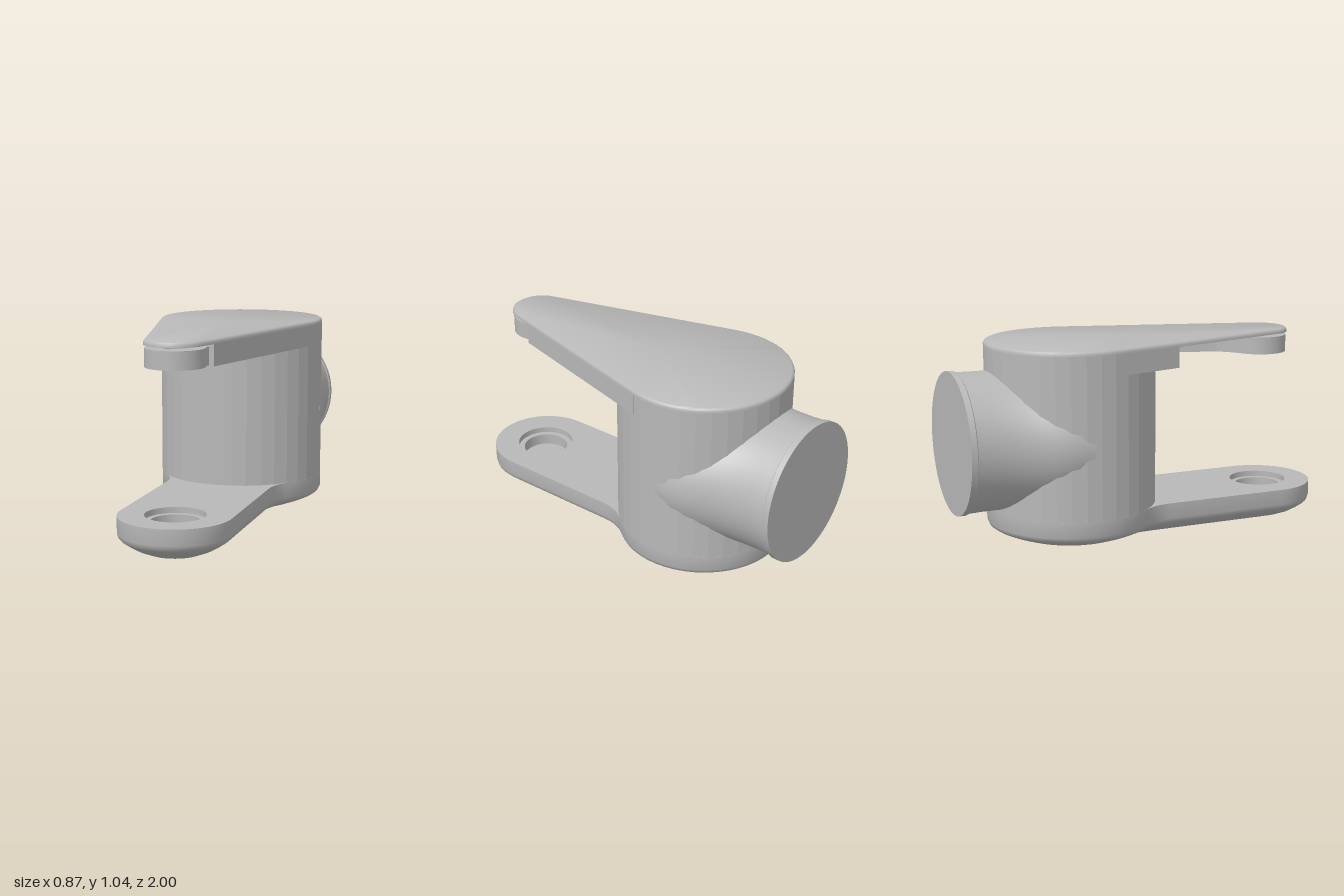
import * as THREE from 'three';
import { toCreasedNormals } from 'three/addons/utils/BufferGeometryUtils.js';

const BODY_Z = -0.37, BODY_R = 0.435, TIP_Z = 0.71, TIP_R = 0.15;
const SLOPE = Math.asin((BODY_R - TIP_R) / (TIP_Z - BODY_Z));
const EYE_Z = 0.72;

// Closed loft through rings of [x, y, z]; ends closed by fans where asked
function loft(rings, capStart, capEnd, crease) {
  const n = rings[0].length, pos = rings.flat(2), idx = [];
  for (let k = 0; k < rings.length - 1; k++) {
    for (let i = 0; i < n; i++) {
      const j = (i + 1) % n, a = k * n + i, b = k * n + j;
      idx.push(a, b, b + n, a, b + n, a + n);
    }
  }
  const cap = (k, flip) => {
    const c = pos.length / 3;
    for (let m = 0; m < 3; m++) pos.push(rings[k].reduce((s, p) => s + p[m], 0) / n);
    for (let i = 0; i < n; i++) {
      const a = k * n + i, b = k * n + (i + 1) % n;
      idx.push(c, flip ? b : a, flip ? a : b);
    }
  };
  if (capStart) cap(0, true);
  if (capEnd) cap(rings.length - 1, false);
  const g = new THREE.BufferGeometry();
  g.setAttribute('position', new THREE.Float32BufferAttribute(pos, 3));
  g.setIndex(idx);
  return toCreasedNormals(g, crease);
}

// Slab from a plan shape drawn in (x, z)
function slab(shape, y0, y1) {
  const g = new THREE.ExtrudeGeometry(shape, { depth: y1 - y0, bevelEnabled: false, curveSegments: 20 });
  return toCreasedNormals(g.rotateX(Math.PI / 2).translate(0, y1, 0), 0.5);
}
const polygon = (pts) => new THREE.Shape(pts.map(([x, z]) => new THREE.Vector2(x, z)));

// Teardrop plan of the upper arm, inset by a distance
function teardrop(y, inset) {
  const pts = [], turn = Math.PI / 2 - SLOPE;
  const arc = (cz, r, from, to, n) => {
    for (let i = 0; i <= n; i++) {
      const t = from + (to - from) * i / n;
      pts.push([(r - inset) * Math.sin(t), y, cz + (r - inset) * Math.cos(t)]);
    }
  };
  arc(TIP_Z, TIP_R, -turn, turn, 20);
  arc(BODY_Z, BODY_R, turn, 2 * Math.PI - turn, 36);
  return pts;
}
const halfWidth = (z) => TIP_R / Math.cos(SLOPE) + (TIP_Z - z) * Math.tan(SLOPE);

// Plan of the base: [x, z, z of the matching point on the centre line]
function baseOutline() {
  const half = [];
  for (let i = 0; i <= 14; i++) {
    const t = Math.PI / 2 * i / 14;
    half.push([0.28 * Math.sin(t), EYE_Z + 0.28 * Math.cos(t), EYE_Z]);
  }
  half.push([0.28, 0.4, 0.4]);
  for (let i = 0; i < 8; i++) {
    const a = 0.686 * i / 8;
    half.push([0.53 - 0.25 * Math.cos(a), 0.064 - 0.25 * Math.sin(a), 0.064 + (BODY_Z - 0.064) * i / 8]);
  }
  for (let i = 0; i <= 18; i++) {
    const t = 0.885 + (Math.PI - 0.885) * i / 18;
    half.push([BODY_R * Math.sin(t), BODY_Z + BODY_R * Math.cos(t), BODY_Z]);
  }
  return [...half, ...half.slice(1, -1).reverse().map(([x, z, q]) => [-x, z, q])];
}

export function createModel() {
  const model = new THREE.Group();
  const grey = new THREE.MeshStandardMaterial({ color: 0xb8b8b8 });
  grey.name = 'plainGrey';
  const add = (name, geometry) => {
    const mesh = new THREE.Mesh(geometry, grey);
    mesh.name = name;
    model.add(mesh);
  };

  // Base with domed underside
  const outline = baseOutline();
  const dome = [[0.01, 0], [0.25, 0.006], [0.5, 0.022], [0.7, 0.045], [0.85, 0.07], [0.94, 0.088], [0.98, 0.1], [1, 0.12], [1, 0.2]];
  add('base', loft(dome.map(([f, y]) => outline.map(([x, z, q]) => [x * f, y, q + (z - q) * f])), true, false, 0.7));

  // Base top face with a stepped blind hole
  const top = new THREE.Shape(outline.map(([x, z]) => new THREE.Vector2(x, -z)));
  top.holes.push(new THREE.Path().absarc(0, -EYE_Z, 0.15, 0, Math.PI * 2, true));
  add('baseTop', new THREE.ShapeGeometry(top, 18).rotateX(-Math.PI / 2).translate(0, 0.2, 0));
  const bore = [[0.15, 0.2], [0.15, 0.17], [0.12, 0.17], [0.12, 0.11], [0, 0.11]];
  add('baseHole', toCreasedNormals(
    new THREE.LatheGeometry(bore.map(([r, y]) => new THREE.Vector2(r, y)), 36).translate(0, 0, EYE_Z), 0.5));

  // Faceted upright body, up to the lid
  add('body', toCreasedNormals(
    new THREE.CylinderGeometry(BODY_R, BODY_R, 0.825, 36, 1, true).translate(0, 0.6075, BODY_Z), 0.1));

  // Rear pipe blending into the body: [distance back, half width, half height]
  const pipe = [[0.4, 0.434, 0.345], [0.48, 0.432, 0.348], [0.55, 0.418, 0.35], [0.6, 0.402, 0.35], [0.65, 0.385, 0.35],
    [0.7, 0.37, 0.35], [0.75, 0.36, 0.35], [0.8, 0.352, 0.35], [0.88, 0.349, 0.35], [0.965, 0.353, 0.353],
    [0.97, 0.36, 0.36], [1, 0.36, 0.36]];
  const pipeRings = pipe.map(([h, w, v]) => Array.from({ length: 56 }, (_, i) => {
    const t = i / 56 * Math.PI * 2;
    return [w * Math.sin(t), h, v * Math.cos(t)];
  }));
  add('rearPipe', loft(pipeRings, true, true, 0.6).rotateX(-Math.PI / 2).translate(0, 0.553, 0));

  // Lid with a rounded upper edge
  const edge = [[1.015, 0], [1.027, 0], [1.035, 0.004], [1.04, 0.013]];
  add('lid', loft(edge.map(([y, inset]) => teardrop(y, inset)), true, true, 0.7));

  // Side walls under the lid: long on the left, cut short on the right
  const backZ = BODY_Z + BODY_R * Math.sin(SLOPE);
  for (const [name, side, endZ] of [['leftWall', 1, 0.65], ['rightWall', -1, 0.09]]) {
    const w = halfWidth(endZ), b = halfWidth(backZ);
    add(name, slab(polygon([[side * w, endZ], [side * b, backZ], [side * (b - 0.03), backZ], [side * (w - 0.025), endZ]]), 0.91, 1.015));
  }

  // Lever under the lid, ending in a pierced boss
  const lever = new THREE.Shape();
  lever.moveTo(halfWidth(-0.1) - 0.05, -0.1);
  lever.lineTo(halfWidth(0.6) - 0.05, 0.62);
  lever.absarc(0, TIP_Z, 0.145, -0.35, 4.3, false);
  lever.quadraticCurveTo(0.0, 0.545, 0.05, 0.48);
  lever.lineTo(0.2, -0.06);
  lever.closePath();
  lever.holes.push(new THREE.Path().absarc(0, TIP_Z, 0.06, 0, Math.PI * 2, true));
  add('lever', slab(lever, 0.91, 1.0));

  return model;
}
